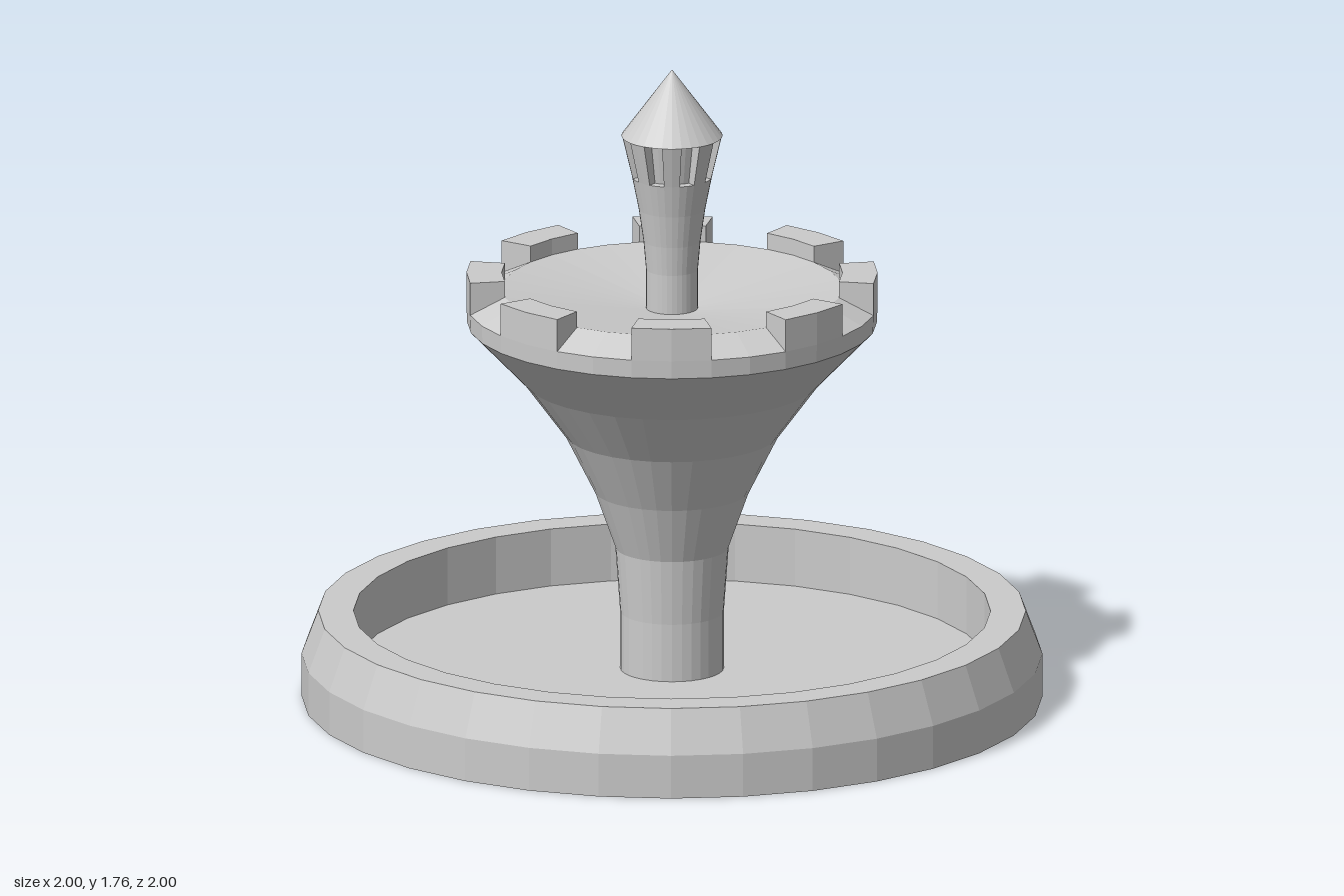
import * as THREE from 'three';
import { mergeGeometries } from 'three/addons/utils/BufferGeometryUtils.js';

const SIDES = 32;
const STEP = (Math.PI * 2) / SIDES;
const material = new THREE.MeshStandardMaterial({ color: 0xcccccc, flatShading: true });

const toPoints = (profile) => profile.map(([r, y]) => new THREE.Vector2(r, y));

function addMesh(parent, name, geometry) {
  const mesh = new THREE.Mesh(geometry, material);
  mesh.name = name;
  parent.add(mesh);
  return mesh;
}

// Full turned part from [radius, height] pairs
function turned(parent, name, profile) {
  return addMesh(parent, name, new THREE.LatheGeometry(toPoints(profile), SIDES));
}

// Capped ring sector, two facets wide, from a counter-clockwise cross-section
function sector(profile, start) {
  const length = STEP * 2;
  const body = new THREE.LatheGeometry(toPoints([...profile, profile[0]]), 2, start, length);
  const startCap = new THREE.ShapeGeometry(new THREE.Shape(toPoints(profile)));
  startCap.rotateY(start - Math.PI / 2);
  const mirrored = profile.map(([r, y]) => [-r, y]);
  const endCap = new THREE.ShapeGeometry(new THREE.Shape(toPoints(mirrored)));
  endCap.rotateY(start + length + Math.PI / 2);
  return mergeGeometries([body, startCap, endCap]);
}

// Eight equal sectors with gaps of the same width centred on the axes
function sectorRing(parent, name, itemName, profile) {
  const ring = new THREE.Group();
  ring.name = name;
  for (let i = 0; i < 8; i++) {
    addMesh(ring, itemName, sector(profile, STEP * (1 + i * 4)));
  }
  parent.add(ring);
}

export function createModel() {
  const model = new THREE.Group();
  model.name = 'fountain';

  // Wide basin with a bevelled rim and sunken floor
  turned(model, 'basin', [
    [0, 0], [1, 0], [1, 0.12], [0.955, 0.24], [0.86, 0.24], [0.86, 0.08], [0, 0.08],
  ]);

  // Flared pedestal, rim with sloped spill ledge, shallow upper bowl
  turned(model, 'pedestalBowl', [
    [0.14, 0.08], [0.14, 0.24], [0.153, 0.42], [0.21, 0.58], [0.29, 0.74], [0.4, 0.89],
    [0.553, 1.05], [0.555, 1.1], [0.46, 1.145], [0.06, 1.09],
  ]);

  // Raised blocks around the bowl rim
  sectorRing(model, 'battlements', 'rimBlock', [
    [0.555, 1.1], [0.555, 1.19], [0.46, 1.19], [0.46, 1.14],
  ]);

  // Central spout, with a recessed core behind the slots
  turned(model, 'spout', [
    [0.07, 1.08], [0.07, 1.2], [0.077, 1.28], [0.09, 1.37], [0.108, 1.46],
    [0.082, 1.46], [0.1, 1.575],
  ]);

  // Ribs between the spout slots
  sectorRing(model, 'spoutRibs', 'rib', [
    [0.108, 1.46], [0.135, 1.575], [0.095, 1.575], [0.078, 1.46],
  ]);

  // Pointed cap
  turned(model, 'spoutCap', [[0, 1.575], [0.137, 1.575], [0, 1.76]]);

  return model;
}
